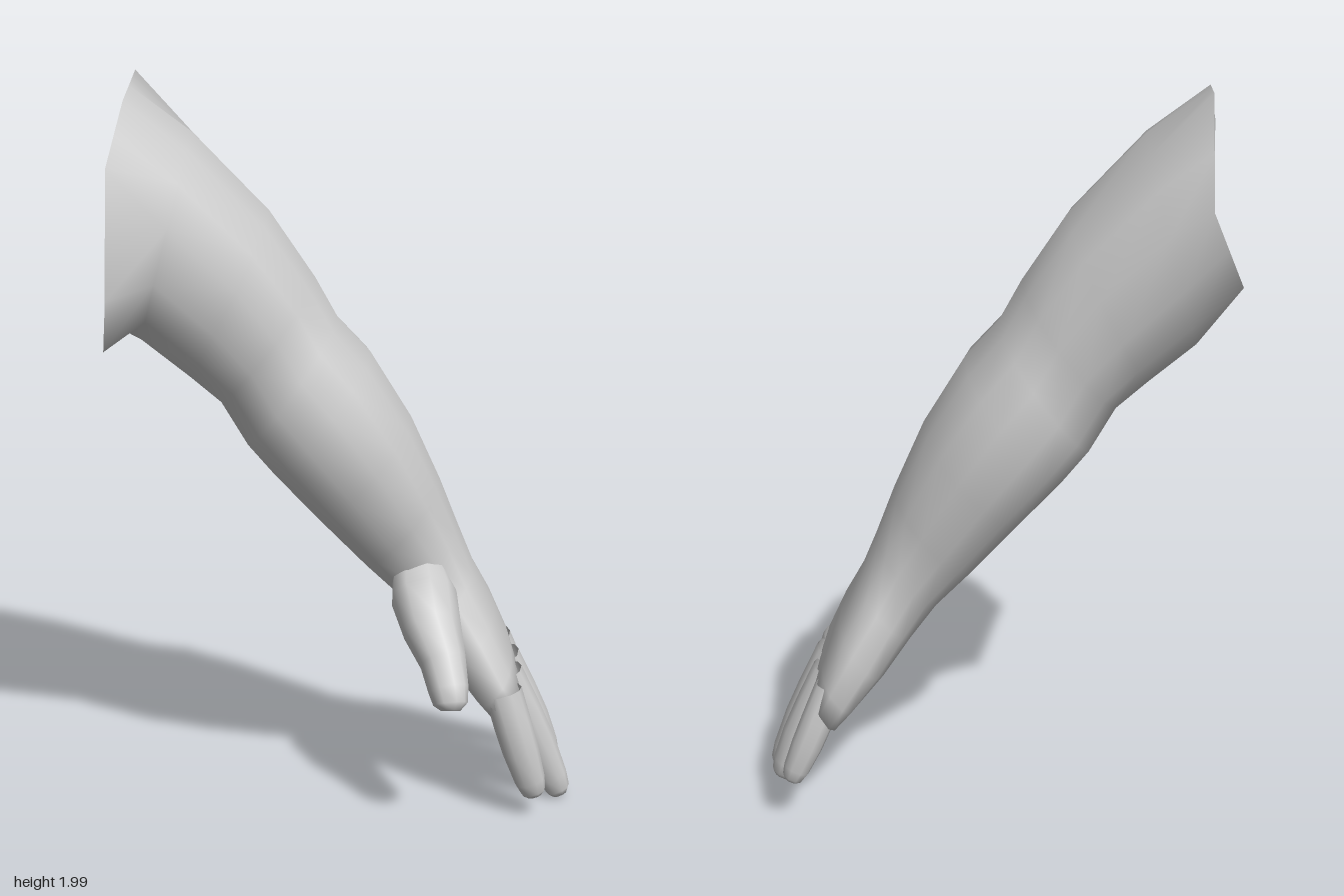
import * as THREE from 'three';

const SIDES = 14;
const V = (x, y, z) => new THREE.Vector3(x, y, z);
const material = new THREE.MeshStandardMaterial({ color: 0xcccccc, side: THREE.DoubleSide });

// Skin a list of point rings; the last ring is closed with a centre point
function loft(name, rings) {
  const n = rings[0].length, pos = [], index = [];
  rings.forEach(r => r.forEach(p => pos.push(p.x, p.y, p.z)));
  for (let i = 0; i < rings.length - 1; i++) {
    for (let k = 0; k < n; k++) {
      const a = i * n + k, b = i * n + (k + 1) % n;
      index.push(a, b, a + n, b, b + n, a + n);
    }
  }
  const last = rings[rings.length - 1], base = (rings.length - 1) * n;
  const centre = last.reduce((s, p) => s.add(p), V(0, 0, 0)).divideScalar(n);
  pos.push(centre.x, centre.y, centre.z);
  for (let k = 0; k < n; k++) index.push(base + k, base + (k + 1) % n, rings.length * n);
  const geometry = new THREE.BufferGeometry();
  geometry.setAttribute('position', new THREE.Float32BufferAttribute(pos, 3));
  geometry.setIndex(index);
  geometry.computeVertexNormals();
  const mesh = new THREE.Mesh(geometry, material);
  mesh.name = name;
  return mesh;
}

// Rounded loop around a centre; power below 1 makes it squarer
function loop(centre, u, w, sides, power = 1) {
  const soft = v => Math.sign(v) * Math.abs(v) ** power;
  return Array.from({ length: sides }, (_, k) => {
    const t = k / sides * Math.PI * 2;
    return centre.clone().addScaledVector(u, soft(Math.cos(t))).addScaledVector(w, soft(Math.sin(t)));
  });
}

// Arm section from its upper point, lower point and z range
function section([tx, ty, bx, by, back, front, power = 0.9]) {
  return loop(V((tx + bx) / 2, (ty + by) / 2, (back + front) / 2),
    V((tx - bx) / 2, (ty - by) / 2, 0), V(0, 0, (front - back) / 2), SIDES, power);
}

// Digit along a path of [x, y, z, half thickness, half width]
function digit(name, path) {
  const pts = path.map(p => V(p[0], p[1], p[2]));
  return loft(name, path.map((p, i) => {
    const dir = pts[Math.min(i + 1, pts.length - 1)].clone().sub(pts[Math.max(i - 1, 0)]).normalize();
    const w = V(0, 0, 1).addScaledVector(dir, -dir.z).normalize();
    const u = w.clone().cross(dir);
    return loop(pts[i], u.multiplyScalar(p[3]), w.multiplyScalar(p[4]), 10, 0.85);
  }));
}

// Seven-cornered open shoulder edge, with points filled in between corners
function shoulderRim() {
  const corners = [
    [1, V(-0.57, 1.96, 0.10)], [3, V(-0.60, 1.82, 0.31)], [4, V(-0.605, 1.49, 0.35)],
    [5, V(-0.62, 1.34, 0.27)], [9, V(-0.64, 1.53, -0.32)], [11, V(-0.56, 1.73, -0.35)],
    [13, V(-0.56, 2.0, -0.20)]];
  const rim = [];
  corners.forEach(([slot, p], i) => {
    const [nextSlot, q] = corners[(i + 1) % corners.length];
    const steps = (nextSlot - slot + SIDES) % SIDES;
    for (let s = 0; s < steps; s++) rim[(slot + s) % SIDES] = p.clone().lerp(q, s / steps);
  });
  return rim;
}

export function createModel() {
  const group = new THREE.Group();
  group.name = 'arm';

  // Upper arm, elbow, forearm, wrist and palm in one skin
  const sections = [
    [-0.40, 1.86, -0.54, 1.31, -0.33, 0.27],
    [-0.20, 1.65, -0.42, 1.21, -0.31, 0.235],
    [-0.08, 1.47, -0.34, 1.14, -0.29, 0.205],
    [-0.02, 1.36, -0.27, 1.02, -0.295, 0.20],
    [0.07, 1.26, -0.20, 0.94, -0.325, 0.22],
    [0.18, 1.08, -0.08, 0.81, -0.30, 0.19],
    [0.26, 0.90, 0.05, 0.67, -0.265, 0.13],
    [0.31, 0.77, 0.14, 0.58, -0.24, 0.085],
    [0.355, 0.66, 0.21, 0.49, -0.265, 0.12],
    [0.41, 0.55, 0.285, 0.39, -0.305, 0.165, 0.8],
    [0.46, 0.43, 0.36, 0.30, -0.315, 0.20, 0.75],
    [0.48, 0.36, 0.41, 0.25, -0.305, 0.20, 0.7]];
  group.add(loft('armAndPalm', [shoulderRim(), ...sections.map(section)]));

  // Fingers: base, middle joint and tip centres
  const fingers = {
    indexFinger: [V(0.43, 0.36, 0.145), V(0.475, 0.21, 0.16), V(0.52, 0.065, 0.16)],
    middleFinger: [V(0.44, 0.37, 0.03), V(0.525, 0.19, 0.03), V(0.60, 0.015, 0.035)],
    ringFinger: [V(0.44, 0.37, -0.10), V(0.52, 0.20, -0.115), V(0.58, 0.06, -0.12)],
    littleFinger: [V(0.43, 0.38, -0.235), V(0.49, 0.235, -0.26), V(0.54, 0.12, -0.27)]
  };
  for (const [name, joints] of Object.entries(fingers)) {
    const curve = new THREE.CatmullRomCurve3(joints);
    const size = name === 'littleFinger' ? 0.85 : 1;
    const stops = [[0, 0.052, 0.06], [0.3, 0.052, 0.058], [0.55, 0.05, 0.056],
      [0.85, 0.042, 0.046], [0.96, 0.034, 0.038], [1, 0.022, 0.026]];
    group.add(digit(name, stops.map(([t, thick, wide]) =>
      [...curve.getPoint(t).toArray(), thick * size, wide * size])));
  }

  // Thumb, widening into the heel of the hand
  group.add(digit('thumb', [
    [0.20, 0.68, 0.0, 0.07, 0.06],
    [0.215, 0.61, 0.09, 0.09, 0.095],
    [0.235, 0.55, 0.175, 0.08, 0.085],
    [0.262, 0.485, 0.25, 0.062, 0.058],
    [0.275, 0.425, 0.297, 0.054, 0.046],
    [0.28, 0.392, 0.317, 0.046, 0.04],
    [0.28, 0.376, 0.324, 0.026, 0.024]]));

  return group;
}
